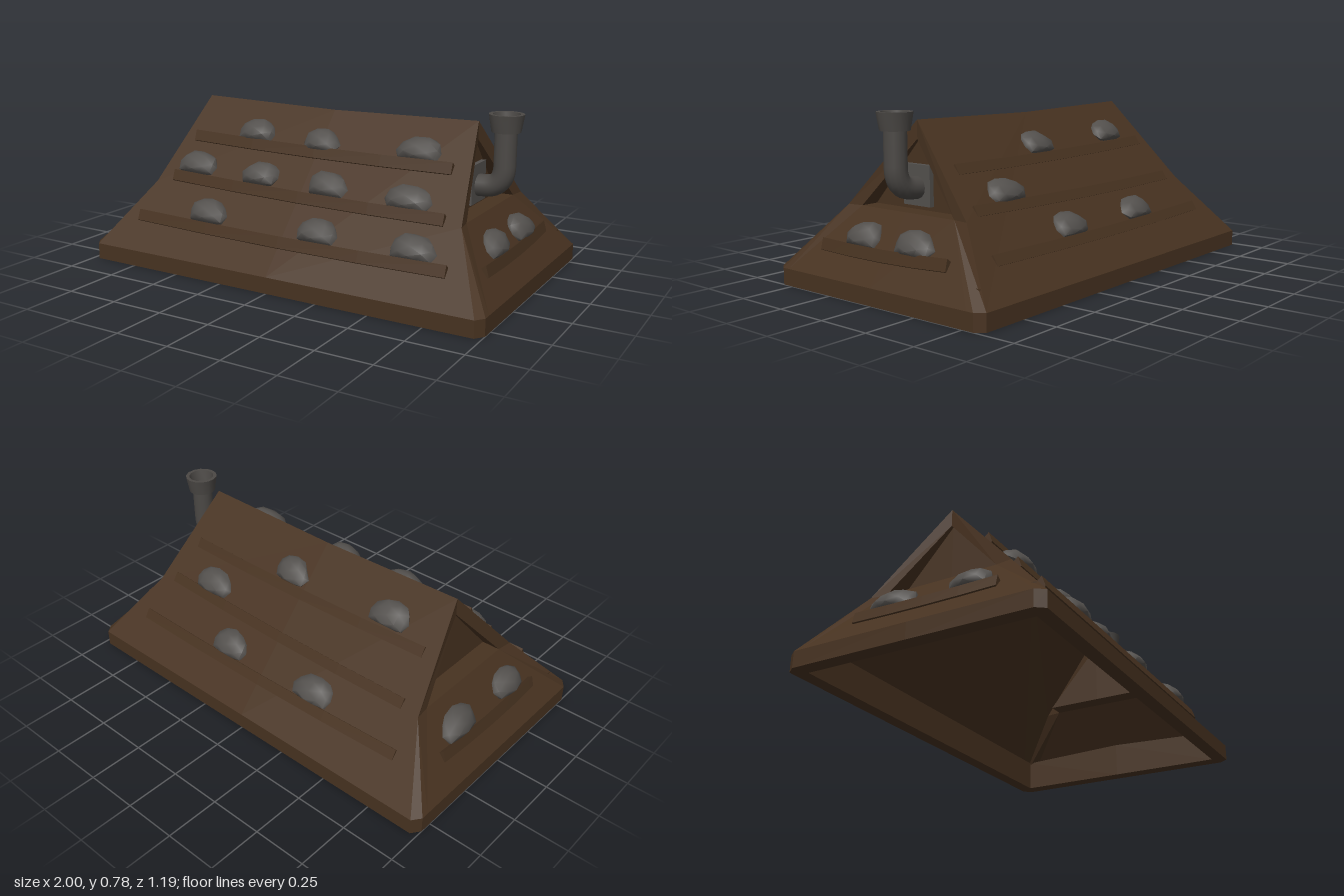
import * as THREE from 'three';
import { mergeVertices, toCreasedNormals } from 'three/addons/utils/BufferGeometryUtils.js';

export function createModel() {
  const model = new THREE.Group();
  const mat = (name, color) => Object.assign(new THREE.MeshStandardMaterial({ color }), { name });
  const wood = mat('brown wood', 0x473220);
  wood.side = THREE.DoubleSide; // the roof is a thin open sheet
  const stone = mat('grey stone', 0x53504d);
  const iron = mat('dark iron', 0x4b4845);

  const add = (name, geo, material, parent = model) => {
    const mesh = new THREE.Mesh(geo, material);
    mesh.name = name;
    parent.add(mesh);
    return mesh;
  };

  // Seeded random for the irregular stones
  let seed = 7;
  const rnd = () => (seed = (seed * 16807) % 2147483647) / 2147483647;

  // Roof sheet: one quarter described by corner points, mirrored to all four
  const P = {
    M0: [0, 0, 0.595], A0: [0.97, 0, 0.595], B0: [1, 0, 0.555], E0: [1, 0, 0],
    M1: [0, 0.075, 0.595], A1: [0.97, 0.075, 0.595], B1: [1, 0.075, 0.555], E1: [1, 0.075, 0],
    C1: [1, 0.075, 0.52],
    H: [0.8, 0.355, 0.345], K: [0.79, 0.355, 0.27], K0: [0.79, 0.355, 0],
    R: [0.72, 0.735, 0], RM: [0, 0.722, 0], S: [0.72, 0.655, 0],
    W: [0.705, 0.355, 0.27], W0: [0.705, 0.355, 0], T: [0.705, 0.655, 0],
    m: [0, 0, 0.53], c: [0.93, 0, 0.53], e: [0.93, 0, 0],
    m1: [0, 0.145, 0.53], c1: [0.93, 0.145, 0.53], e1: [0.93, 0.165, 0],
  };
  const shell = (name, faces) => {
    const pos = [];
    for (const sx of [1, -1]) for (const sz of [1, -1]) {
      for (const face of faces) {
        const pts = face.split(' ').map((k) => [P[k][0] * sx, P[k][1], P[k][2] * sz]);
        if (sx * sz < 0) pts.reverse();
        for (let i = 1; i < pts.length - 1; i++) pos.push(...pts[0], ...pts[i], ...pts[i + 1]);
      }
    }
    const geo = new THREE.BufferGeometry();
    geo.setAttribute('position', new THREE.Float32BufferAttribute(pos, 3));
    geo.computeVertexNormals();
    add(name, geo, wood);
  };
  shell('eavesRim', ['M0 A0 A1 M1', 'A0 B0 B1 A1', 'B0 E0 E1 B1',
    'M0 m c A0', 'A0 c B0', 'B0 c e E0', 'm m1 c1 c', 'c c1 e1 e']);
  shell('roofSlopes', ['M1 A1 H R RM']);
  shell('hipsAndRakes', ['H A1 B1 C1 K', 'H K S R', 'K W T S']);
  shell('endSkirts', ['C1 E1 K0 K', 'K K0 W0 W']);
  shell('gableWalls', ['W W0 T']);

  // Sloped faces: yaw, eave distance, horizontal run per unit of height
  const sides = {
    front: [0, 0.595, 0.902], back: [Math.PI, 0.595, 0.902],
    right: [Math.PI / 2, 1, 0.75], left: [-Math.PI / 2, 1, 0.75],
  };
  const place = (mesh, side, u, y, roll = 0) => {
    const [yaw, eave, run] = sides[side];
    mesh.position.set(u, y, eave - (y - 0.075) * run).applyAxisAngle(new THREE.Vector3(0, 1, 0), yaw);
    mesh.rotation.set(-Math.atan(run), yaw, roll, 'YXZ');
  };

  // Beams that hold the stones: side, start, end, height, roll, thickness at the top
  const beams = [
    ['front', -0.8, 0.8, 0.2, -0.006, 0.028], ['front', -0.71, 0.72, 0.37, -0.016, 0.028],
    ['front', -0.69, 0.68, 0.545, -0.008, 0.028],
    ['back', -0.78, 0.78, 0.212, 0.004, 0.012], ['back', -0.72, 0.71, 0.372, -0.012, 0.012],
    ['back', -0.68, 0.69, 0.533, 0.006, 0.012],
    ['right', -0.375, 0.35, 0.188, 0.016, 0.028], ['left', -0.32, 0.36, 0.182, -0.01, 0.028],
  ];
  for (const [side, a, b, y, roll, thick] of beams) {
    const geo = new THREE.BoxGeometry(b - a, 0.048, 1, 4, 1, 1);
    const p = geo.attributes.position;
    for (let i = 0; i < p.count; i++) {
      const t = p.getX(i) / ((b - a) / 2);
      const front = p.getY(i) > 0 ? thick : thick * 0.3;
      p.setZ(i, p.getZ(i) > 0 ? front : 0.002);
      p.setY(i, p.getY(i) - 0.01 * (1 - t * t));
    }
    geo.computeVertexNormals();
    place(add(side + 'Beam', geo, wood), side, (a + b) / 2, y + 0.004, roll);
  }

  // Stones: half lumps with a flat underside, resting against the sheet
  const makeStone = (w, depth) => {
    let geo = new THREE.IcosahedronGeometry(1, 1);
    geo.deleteAttribute('normal');
    geo.deleteAttribute('uv');
    geo = mergeVertices(geo, 1e-4);
    const p = geo.attributes.position;
    const lean = (rnd() - 0.5) * 0.4;
    for (let i = 0; i < p.count; i++) {
      const k = 0.95 + rnd() * 0.1;
      const y = p.getY(i) * k;
      p.setXYZ(i, (p.getX(i) * k + lean * Math.max(y, 0)) * w / 2,
        Math.max(y * 0.078, -0.045), Math.max(p.getZ(i) * k * depth, 0.002));
    }
    return toCreasedNormals(geo, 0.9);
  };
  const stones = [
    ['front', -0.42, 0.258, 0.21], ['front', 0.17, 0.252, 0.2], ['front', 0.63, 0.25, 0.22],
    ['front', -0.6, 0.437, 0.22], ['front', -0.235, 0.428, 0.2], ['front', 0.13, 0.423, 0.2],
    ['front', 0.53, 0.415, 0.22], ['front', -0.35, 0.595, 0.2], ['front', 0.015, 0.585, 0.19],
    ['front', 0.5, 0.595, 0.22],
    ['back', 0.29, 0.262, 0.22], ['back', -0.225, 0.26, 0.21], ['back', -0.48, 0.425, 0.22],
    ['back', 0.47, 0.593, 0.21], ['back', -0.09, 0.583, 0.19],
    ['right', -0.16, 0.24, 0.19], ['right', 0.14, 0.238, 0.215],
    ['left', -0.16, 0.24, 0.22], ['left', 0.21, 0.24, 0.2],
  ];
  for (const [side, u, y, w] of stones) {
    const depth = side === 'back' ? 0.045 : 0.056;
    place(add(side + 'Stone', makeStone(w, depth), stone), side, u, y);
  }

  // Chimney on the right-hand gable: wall plate, bent pipe, flared collar
  const chimney = new THREE.Group();
  chimney.name = 'chimney';
  model.add(chimney);
  add('wallPlate', new THREE.BoxGeometry(0.022, 0.175, 0.155), stone, chimney).position.set(0.718, 0.4625, 0);

  const path = new THREE.CurvePath();
  const v = (x, y) => new THREE.Vector3(x, y, 0);
  path.add(new THREE.LineCurve3(v(0.71, 0.452), v(0.765, 0.455)));
  path.add(new THREE.QuadraticBezierCurve3(v(0.765, 0.455), v(0.845, 0.46), v(0.845, 0.55)));
  path.add(new THREE.LineCurve3(v(0.845, 0.55), v(0.845, 0.72)));
  add('pipe', new THREE.TubeGeometry(path, 24, 0.049, 14), iron, chimney);

  const profile = [[0, 0.7], [0.064, 0.7], [0.077, 0.777], [0.06, 0.777], [0.05, 0.725], [0, 0.725]]
    .map(([r, y]) => new THREE.Vector2(r, y));
  const collar = toCreasedNormals(new THREE.LatheGeometry(profile, 14), 0.6);
  add('pipeCollar', collar, iron, chimney).position.x = 0.845;

  return model;
}
